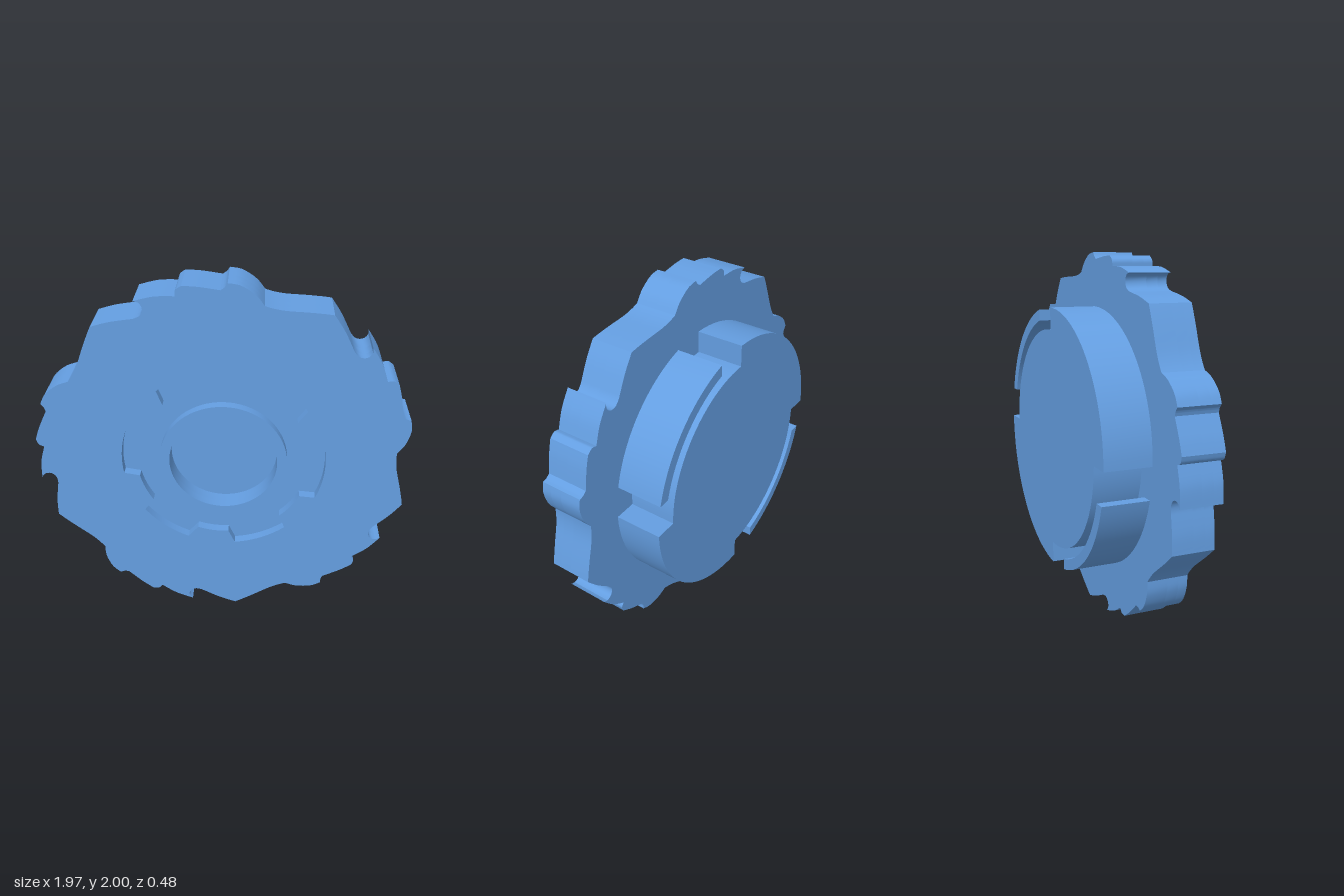
import * as THREE from 'three';
import { toCreasedNormals } from 'three/addons/utils/BufferGeometryUtils.js';

const CX = 0.009, CY = 1.0;               // axis of the wheel
const FRONT = 0.241, SEAM = 0.014, BACK = -0.241;
const RECESS = 0.19, BORE = 0.128;        // floors of the toothed recess and the bore
const rad = THREE.MathUtils.degToRad;

// One fifth of the rim, clockwise from a tip; every run is a smooth curve between two corners
const RIM = [
  [[0.528, 0.85], [0.583, 0.768], [0.636, 0.665]],
  [[0.636, 0.665], [0.658, 0.639], [0.683, 0.631], [0.708, 0.637], [0.725, 0.660], [0.723, 0.687]],
  [[0.723, 0.687], [0.778, 0.6], [0.813, 0.505]],
  [[0.813, 0.505], [0.843, 0.51], [0.872, 0.49]],
  [[0.872, 0.49], [0.893, 0.415], [0.912, 0.31]],
  [[0.912, 0.31], [0.932, 0.295], [0.956, 0.288]],
  [[0.956, 0.288], [0.965, 0.225], [0.944, 0.145], [0.907, 0.088]],
  [[0.907, 0.088], [0.908, 0.045], [0.918, -0.02], [0.946, -0.125], [0.972, -0.235]],
];

function rimPoints() {
  const pts = [];
  for (let k = 0; k < 5; k++) {
    for (const run of RIM) {
      const curve = new THREE.SplineCurve(run.map(([x, y]) => new THREE.Vector2(x, y)));
      for (const p of curve.getPoints(10).slice(0, -1)) {
        pts.push(p.rotateAround(new THREE.Vector2(), rad(-72 * k)));
      }
    }
  }
  return pts;
}

// Points on an arc, angles in degrees
function arc(r, from, to, n = 24) {
  return Array.from({ length: n + 1 }, (_, i) => {
    const a = rad(from + (to - from) * i / n);
    return new THREE.Vector2(r * Math.cos(a), r * Math.sin(a));
  });
}

// Six wide teeth with narrower gaps between them
function toothedPoints() {
  const pts = [];
  for (let k = 0; k < 6; k++) {
    const mid = 53 + 60 * k;
    pts.push(...arc(0.542, mid - 16, mid + 16, 12));
    pts.push(...arc(0.461, mid + 19.3, mid + 40.7, 8));
  }
  return pts;
}

function slab(name, outline, z0, z1, hole) {
  const shape = new THREE.Shape(outline);
  if (hole) shape.holes.push(new THREE.Path(hole));
  const geo = new THREE.ExtrudeGeometry(shape, { depth: z1 - z0, bevelEnabled: false });
  geo.translate(CX, CY, z0);
  const mesh = new THREE.Mesh(
    toCreasedNormals(geo, 0.45),
    new THREE.MeshStandardMaterial({ color: 0x649ee1 })
  );
  mesh.name = name;
  return mesh;
}

export function createModel() {
  const group = new THREE.Group();
  group.name = 'notchedWheel';

  // Notched disc, with a toothed recess and a bore in its front
  const rim = rimPoints();
  const bore = arc(0.287, 0, 360, 72).slice(0, -1);
  group.add(slab('discBase', rim, SEAM, BORE));
  group.add(slab('discMiddle', rim, BORE, RECESS, bore));
  group.add(slab('discFront', rim, RECESS, FRONT, toothedPoints()));

  // Raised collar round the bore
  group.add(slab('collar', arc(0.34, 0, 360, 72).slice(0, -1), RECESS, FRONT, bore));

  // Rear hub: two opposite quarters are stepped inwards
  const hub = [0, 180].flatMap(a => [...arc(0.598, a, a + 90), ...arc(0.715, a + 90, a + 180)]);
  group.add(slab('hub', hub, BACK, SEAM));

  // Curved rib standing in each stepped quarter, its ends cut square
  const R = 0.715, r = 0.657, cut = 0.176;
  const start = q => THREE.MathUtils.radToDeg(Math.asin(cut / q));
  for (const turn of [0, 180]) {
    const a = start(R), b = start(r);
    const outline = [...arc(R, turn + a, turn + 90 - a), ...arc(r, turn + 90 - b, turn + b)];
    group.add(slab('rib', outline, BACK, SEAM));
  }
  return group;
}
